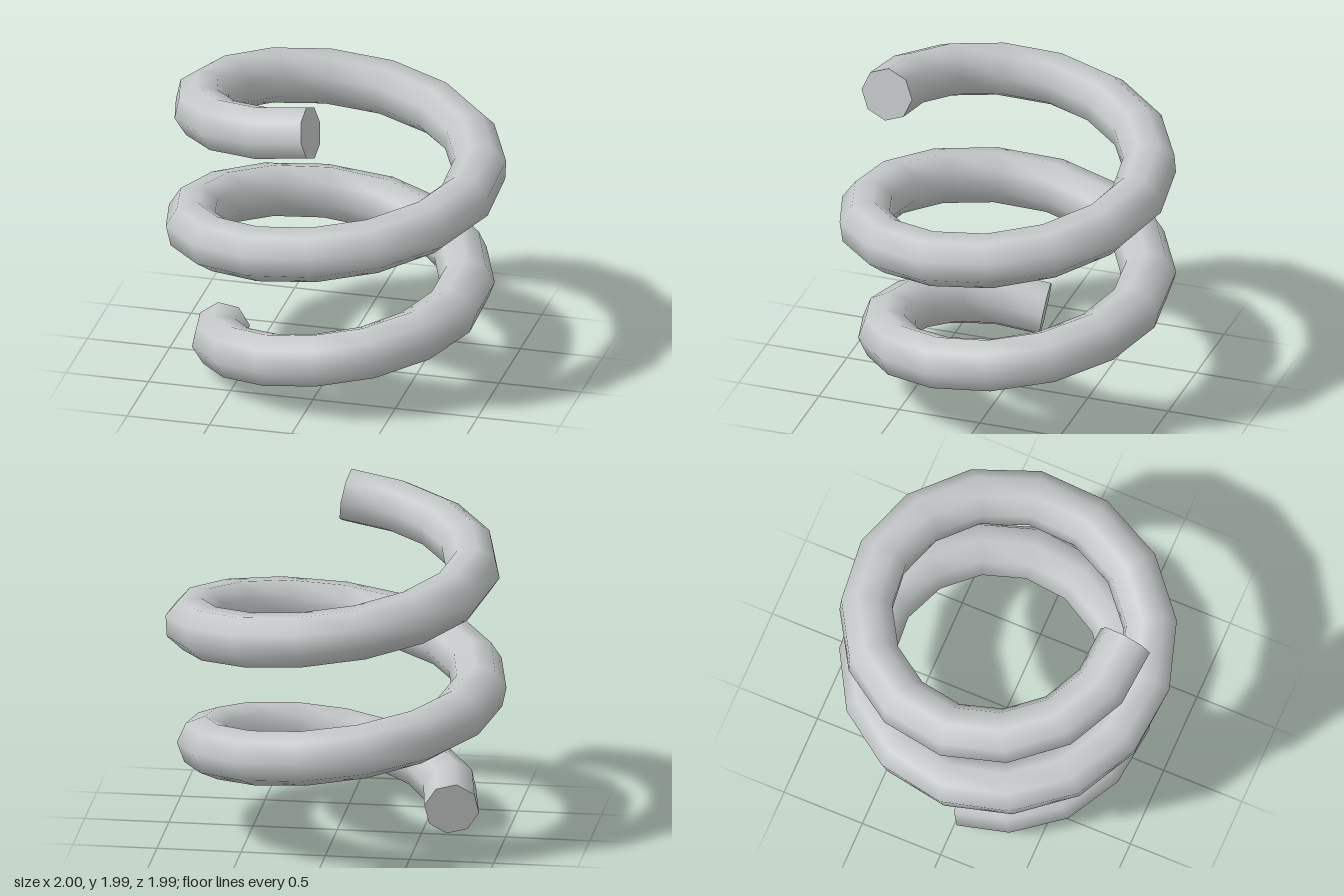
import * as THREE from 'three';

const STEPS = 34;       // segments along the coil, 15 per turn
const SIDES = 8;
const WIRE = 0.163;     // wire radius
// coil radius at each quarter turn, from the bottom up
const RADII = [0.68, 0.708, 0.775, 0.827, 0.845, 0.84, 0.86, 0.843, 0.807, 0.74, 0.70];

function coilRadius(turn) {
  const q = turn * 4, k = Math.floor(q), f = q - k;
  return THREE.MathUtils.lerp(RADII[k], RADII[k + 1], f);
}

// centre line: rising from the left-hand side of the front round to the back
function coilPoint(i) {
  const turn = i / 15;
  const lag = Math.max(0, turn - 1.5) * 0.055;
  const a = turn * Math.PI * 2 - lag, r = coilRadius(turn);
  return new THREE.Vector3(-r * Math.cos(a), 0.163 + (1.838 - 0.163) * i / STEPS, r * Math.sin(a));
}

// eight-sided rings, carried down the coil without extra twist
function makeRings() {
  const pts = Array.from({ length: STEPS + 1 }, (_, i) => coilPoint(i));
  const dir = i => pts[i + 1].clone().sub(pts[i]).normalize();
  const rings = [];
  const u = new THREE.Vector3(0, 1, 0);
  for (let i = STEPS; i >= 0; i--) {
    const t = dir(Math.max(i - 1, 0)).add(dir(Math.min(i, STEPS - 1))).normalize();
    u.addScaledVector(t, -u.dot(t)).normalize();
    const v = t.clone().cross(u);
    rings[i] = Array.from({ length: SIDES }, (_, j) => {
      const a = j / SIDES * Math.PI * 2;
      return pts[i].clone().addScaledVector(u, WIRE * Math.cos(a)).addScaledVector(v, WIRE * Math.sin(a));
    });
  }
  return rings;
}

function surface(points, index) {
  const g = new THREE.BufferGeometry().setFromPoints(points);
  g.setIndex(index);
  g.computeVertexNormals();
  return g;
}

export function createModel() {
  const group = new THREE.Group();
  group.name = 'spring';
  const steel = new THREE.MeshStandardMaterial({ color: 0xc4c8c8 });
  steel.name = 'steel grey';
  const add = (name, geometry) => {
    const mesh = new THREE.Mesh(geometry, steel);
    mesh.name = name;
    group.add(mesh);
  };

  // smooth wire wall
  const rings = makeRings(), index = [];
  for (let i = 0; i < STEPS; i++) {
    for (let j = 0; j < SIDES; j++) {
      const a = i * SIDES + j, b = i * SIDES + (j + 1) % SIDES;
      index.push(a, b, b + SIDES, a, b + SIDES, a + SIDES);
    }
  }
  add('coil', surface(rings.flat(), index));

  // flat cut ends
  const fan = [];
  for (let j = 1; j < SIDES - 1; j++) fan.push(0, j, j + 1);
  add('topEnd', surface(rings[STEPS], fan));
  add('bottomEnd', surface(rings[0].slice().reverse(), fan));
  return group;
}
